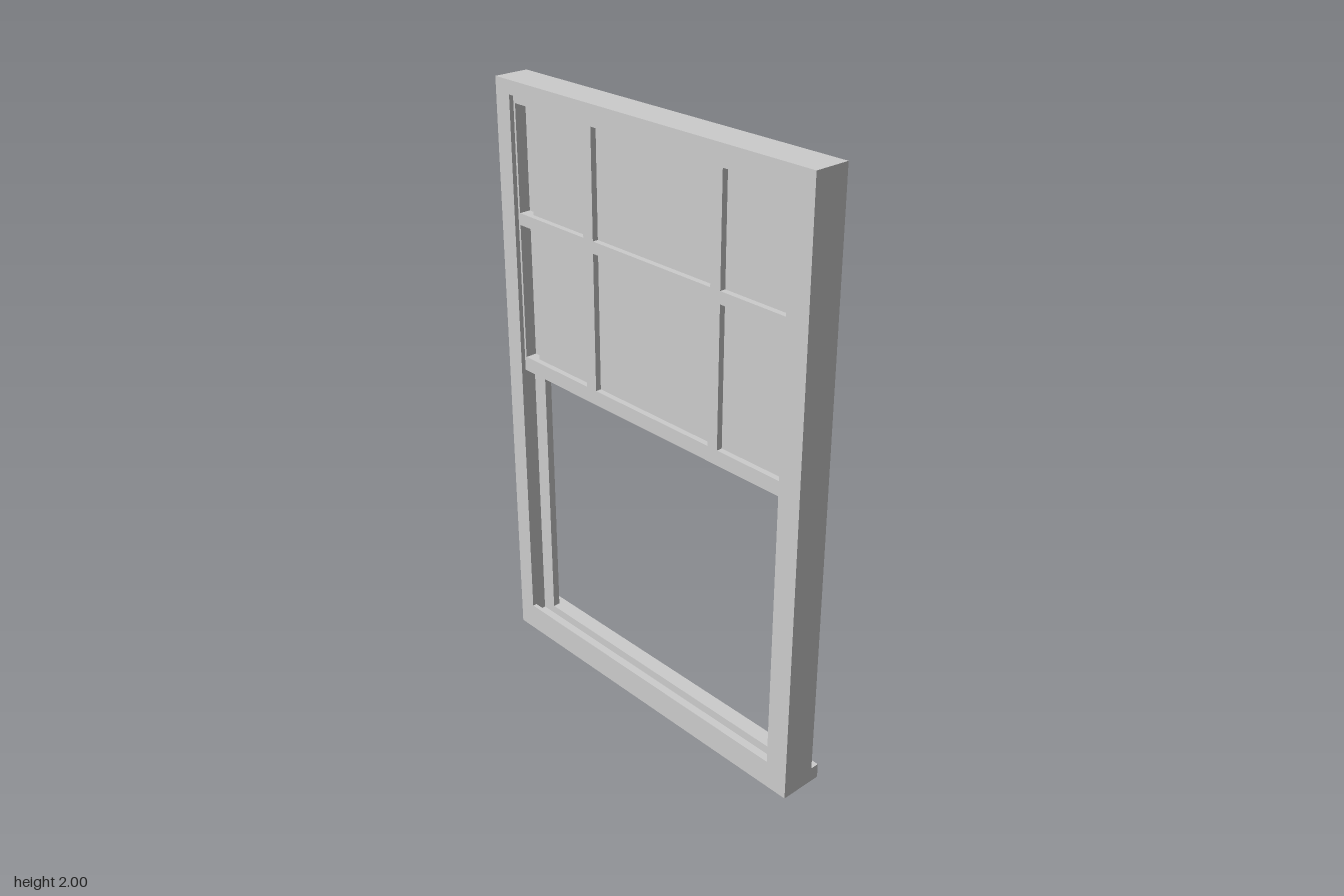
import * as THREE from 'three';

const material = new THREE.MeshStandardMaterial({ color: 0xcccccc, flatShading: true });

function rectangle(path, [x0, x1, y0, y1]) {
  path.moveTo(x0, y0);
  path.lineTo(x1, y0);
  path.lineTo(x1, y1);
  path.lineTo(x0, y1);
  path.closePath();
  return path;
}

// Flat rectangular panel with rectangular openings, spanning z0 to z1
function panel(name, outline, openings, z0, z1) {
  const shape = rectangle(new THREE.Shape(), outline);
  shape.holes = openings.map((o) => rectangle(new THREE.Path(), o));
  const geometry = new THREE.ExtrudeGeometry(shape, { depth: z1 - z0, bevelEnabled: false });
  geometry.translate(0, 0, z0);
  const mesh = new THREE.Mesh(geometry, material);
  mesh.name = name;
  return mesh;
}

export function createModel() {
  const model = new THREE.Group();
  model.name = 'sashWindow';

  // Frame: two faces on a thin casing, leaving a channel for the sash
  const outer = [-0.655, 0.655, 0, 2];
  const frame = new THREE.Group();
  frame.name = 'frame';
  frame.add(
    panel('frontFace', outer, [[-0.59, 0.575, 0.095, 1.955]], 0.06, 0.075),
    panel('casing', outer, [[-0.645, 0.645, 0.02, 1.985]], -0.02, 0.06),
    panel('backFace', outer, [[-0.59, 0.575, 0.05, 1.955]], -0.045, -0.02),
    panel('sill', [-0.655, 0.655, 0, 0.05], [], -0.075, -0.045),
  );
  model.add(frame);

  // Raised sash: rails and glazing bars around two rows of three panes
  const columns = [[-0.635, -0.32], [-0.275, 0.235], [0.275, 0.635]];
  const rows = [[1.05, 1.515], [1.555, 1.91]];
  const lights = rows.flatMap((r) => columns.map((c) => [...c, ...r]));
  const sash = new THREE.Group();
  sash.name = 'sash';
  sash.add(
    panel('sashBars', [-0.645, 0.645, 1, 1.985], lights, -0.02, 0.02),
    panel('glass', [-0.59, 0.635, 1.02, 1.95], [], -0.008, 0),
  );
  model.add(sash);

  return model;
}
